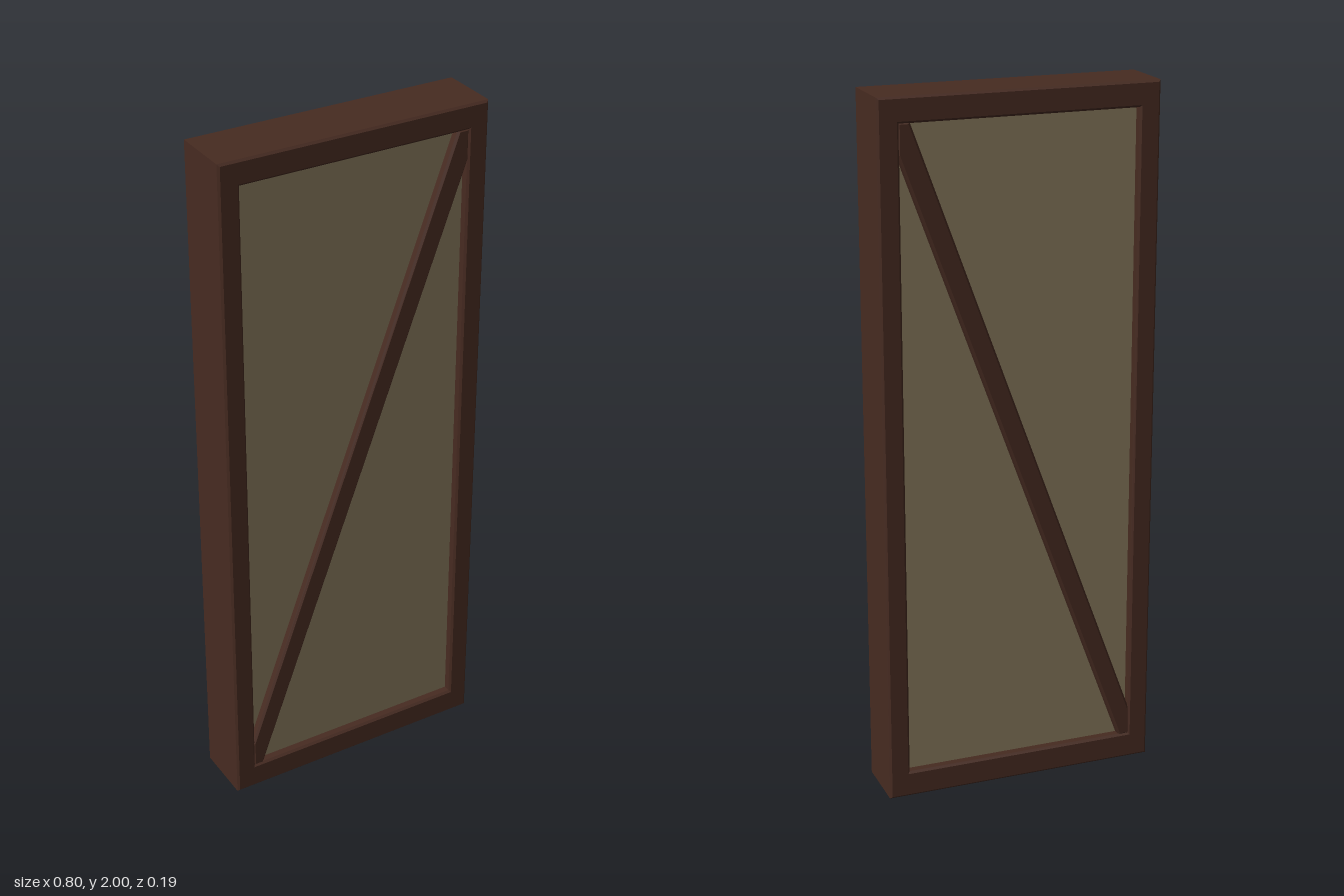
import * as THREE from 'three';

const BEVEL = 0.006;

const timber = new THREE.MeshStandardMaterial({ color: 0x472b21 });
timber.name = 'dark timber';
const plaster = new THREE.MeshStandardMaterial({ color: 0x85775b });
plaster.name = 'tan plaster';

const points = (list) => list.map(([x, y]) => new THREE.Vector2(x, y));
const rect = (x, y0, y1) => points([[-x, y0], [x, y0], [x, y1], [-x, y1]]);

// Extrudes an outline to a chamfered beam centred on z = 0, keeping its drawn size
function beam(name, shape, thickness) {
  const depth = thickness - 2 * BEVEL;
  const geometry = new THREE.ExtrudeGeometry(shape, {
    depth, bevelEnabled: true, bevelSegments: 1,
    bevelSize: BEVEL, bevelThickness: BEVEL, bevelOffset: -BEVEL,
  });
  geometry.translate(0, 0, -depth / 2);
  const mesh = new THREE.Mesh(geometry, timber);
  mesh.name = name;
  return mesh;
}

export function createModel() {
  const group = new THREE.Group();
  group.name = 'timberWallPanel';

  // Outer frame: two posts and two rails around one opening
  const outline = new THREE.Shape(rect(0.398, 0.001, 2));
  outline.holes.push(new THREE.Path(rect(0.338, 0.077, 1.929)));
  group.add(beam('frame', outline, 0.185));

  // Diagonal brace, clipped to the opening and showing on both faces
  const brace = new THREE.Shape(points([
    [-0.342, 0.073], [-0.31, 0.073], [0.342, 1.845],
    [0.342, 1.933], [0.308, 1.933], [-0.342, 0.155],
  ]));
  group.add(beam('brace', brace, 0.18));

  // Plaster infill, set back on both faces and reaching down to the underside
  const infill = new THREE.Mesh(new THREE.BoxGeometry(0.785, 1.99, 0.134), plaster);
  infill.name = 'infill';
  infill.position.y = 0.995;
  group.add(infill);

  return group;
}
